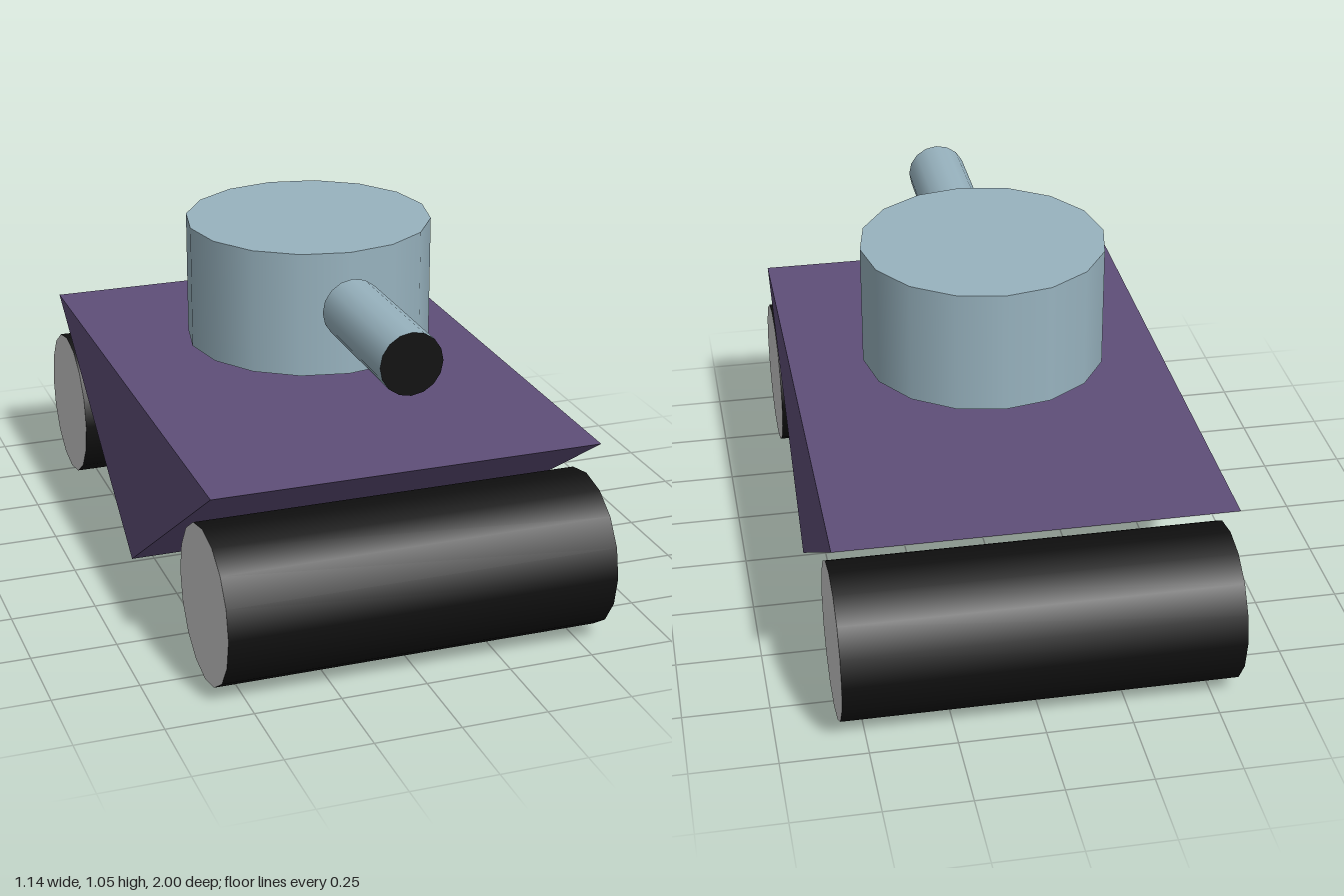
import * as THREE from 'three';

const paint = (name, color) => Object.assign(new THREE.MeshStandardMaterial({ color }), { name });

export function createModel() {
  const purple = paint('hull purple', 0x5f4f79);
  const blue = paint('turret blue', 0x98b3bf);
  const black = paint('roller black', 0x101010);
  const grey = paint('roller end grey', 0xcccccc);

  const model = new THREE.Group();
  model.name = 'tank';
  const add = (name, geometry, material, x, y, z) => {
    const mesh = new THREE.Mesh(geometry, material);
    mesh.name = name;
    mesh.position.set(x, y, z);
    model.add(mesh);
    return mesh;
  };

  // Wedge hull: a triangular section in z and y, swept across the width
  const section = new THREE.Shape([
    new THREE.Vector2(0, 0.01),
    new THREE.Vector2(0.855, 0.58),
    new THREE.Vector2(-0.855, 0.58),
  ]);
  const hull = new THREE.ExtrudeGeometry(section, { depth: 1.14, bevelEnabled: false });
  hull.translate(0, 0, -0.57).rotateY(Math.PI / 2);
  add('hull', hull, purple, 0, 0, 0);

  // Full-width rollers, front and back
  const roller = new THREE.CylinderGeometry(0.228, 0.228, 1.14, 16).rotateZ(Math.PI / 2);
  for (const [name, z] of [['frontRoller', 0.772], ['backRoller', -0.772]]) {
    add(name, roller, [black, grey, grey], 0, 0.229, z);
  }

  // Turret floating above the hull
  add('turret', new THREE.CylinderGeometry(0.364, 0.364, 0.368, 16), blue, 0, 0.866, 0);

  // Gun barrel with a dark muzzle
  const barrel = new THREE.CylinderGeometry(0.091, 0.091, 0.456, 16).rotateX(Math.PI / 2);
  add('barrel', barrel, [blue, black, blue], 0, 0.888, 0.617);

  return model;
}
